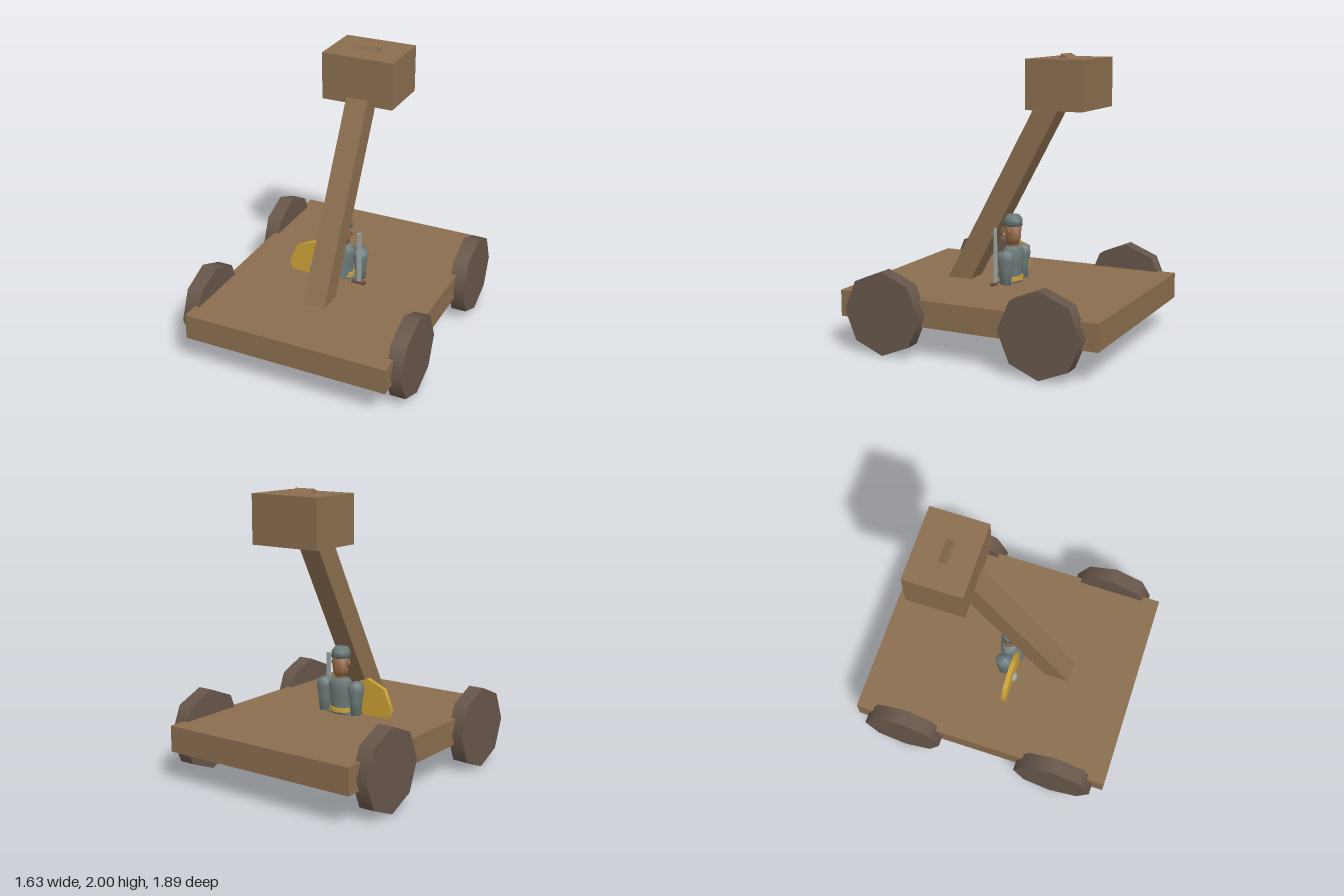
import * as THREE from 'three';

const paint = (name, color) => {
  const m = new THREE.MeshStandardMaterial({ color });
  m.name = name;
  return m;
};

export function createModel() {
  const wood = paint('wood', 0x8a6d4e);
  const darkWood = paint('dark wood', 0x67564a);
  const gold = paint('gold', 0xcba135);
  const cloth = paint('grey cloth', 0x6b7978);
  const steel = paint('steel', 0x9ca6a6);
  const skin = paint('skin', 0x8f6645);
  const leather = paint('leather', 0x6a5040);

  const model = new THREE.Group();
  model.name = 'catapult';

  const add = (parent, name, geometry, material, x, y, z) => {
    const mesh = new THREE.Mesh(geometry, material);
    mesh.name = name;
    mesh.position.set(x, y, z);
    parent.add(mesh);
    return mesh;
  };
  const box = (w, h, d) => new THREE.BoxGeometry(w, h, d);
  const ball = (r, ws = 8, hs = 6) => new THREE.SphereGeometry(r, ws, hs);
  // Turned solid from [radius, height] pairs listed bottom to top
  const turned = (points, sides = 8) =>
    new THREE.LatheGeometry(points.map(([r, y]) => new THREE.Vector2(r, y)), sides);

  // Wagon deck, leaning throwing arm and bucket
  add(model, 'deck', box(1.48, 0.183, 1.89), wood, 0, 0.307, 0);
  const beam = add(model, 'throwingArm', box(0.16, 1.968, 0.16), wood, 0, 1.097, 0.006);
  beam.rotation.x = -THREE.MathUtils.degToRad(28.5);
  add(model, 'bucket', box(0.526, 0.335, 0.405), wood, 0, 1.803, -0.42);

  // Four eight-sided wheels
  for (const side of [-1, 1]) {
    for (const end of [-1, 1]) {
      const geometry = new THREE.CylinderGeometry(0.288, 0.288, 0.11, 8).rotateZ(Math.PI / 2);
      add(model, 'wheel', geometry, darkWood, side * 0.76, 0.29, end * 0.575);
    }
  }

  // Soldier standing through the deck
  const soldier = new THREE.Group();
  soldier.name = 'soldier';
  model.add(soldier);

  const torso = turned([[0, 0.37], [0.085, 0.37], [0.08, 0.44], [0.088, 0.54], [0.1, 0.61], [0.07, 0.65], [0, 0.665]]);
  add(soldier, 'torso', torso, cloth, 0, 0, 0).scale.z = 0.72;
  add(soldier, 'chestGuard', new THREE.CylinderGeometry(0.055, 0.065, 0.17, 8), cloth, 0, 0.515, 0.05);
  add(soldier, 'belt', new THREE.CylinderGeometry(0.088, 0.09, 0.03, 8), gold, 0, 0.43, 0).scale.z = 0.8;
  add(soldier, 'neck', new THREE.CylinderGeometry(0.038, 0.042, 0.06, 8), skin, 0, 0.665, 0);

  // Head with nose and domed cap
  const head = turned([[0, 0.66], [0.045, 0.67], [0.058, 0.71], [0.062, 0.8], [0, 0.82]]);
  add(soldier, 'head', head, skin, 0, 0, 0);
  add(soldier, 'nose', box(0.022, 0.035, 0.04), skin, 0, 0.755, 0.07);
  const cap = turned([[0, 0.8], [0.07, 0.8], [0.068, 0.845], [0.046, 0.875], [0, 0.878]]);
  add(soldier, 'cap', cap, cloth, 0, 0, 0);

  for (const side of [-1, 1]) {
    add(soldier, 'ear', ball(0.022), skin, side * 0.064, 0.76, 0).scale.set(0.8, 1.1, 0.6);

    // Sleeve, hand, leg and boot
    const sleeve = turned([[0, 0.4], [0.036, 0.405], [0.042, 0.5], [0.054, 0.58], [0.05, 0.63], [0, 0.648]]);
    add(soldier, 'arm', sleeve, cloth, side * 0.135, 0, -0.008).scale.z = 1.15;
    add(soldier, 'hand', ball(0.03), skin, side * 0.145, 0.385, 0.03);
    add(soldier, 'leg', new THREE.CylinderGeometry(0.048, 0.04, 0.28, 8), cloth, side * 0.068, 0.27, 0.002);
    const boot = turned([[0, 0.06], [0.05, 0.06], [0.045, 0.115], [0.041, 0.143], [0, 0.145]]);
    add(soldier, 'boot', boot, leather, side * 0.068, 0, 0.012);
  }

  // Round shield with its boss, on the right arm
  const shield = new THREE.CylinderGeometry(0.2, 0.2, 0.034, 8).rotateX(Math.PI / 2);
  add(soldier, 'shield', shield, gold, -0.187, 0.46, 0.067);
  add(soldier, 'shieldBoss', ball(0.039, 12, 8), steel, -0.187, 0.46, 0.084).scale.z = 0.7;

  // Upright sword in the left hand
  add(soldier, 'swordBlade', box(0.03, 0.4, 0.014), steel, 0.152, 0.6, 0.062);
  add(soldier, 'swordGuard', box(0.1, 0.022, 0.032), leather, 0.152, 0.405, 0.062);
  add(soldier, 'swordGrip', new THREE.CylinderGeometry(0.011, 0.011, 0.08, 8), leather, 0.152, 0.36, 0.062);

  return model;
}
